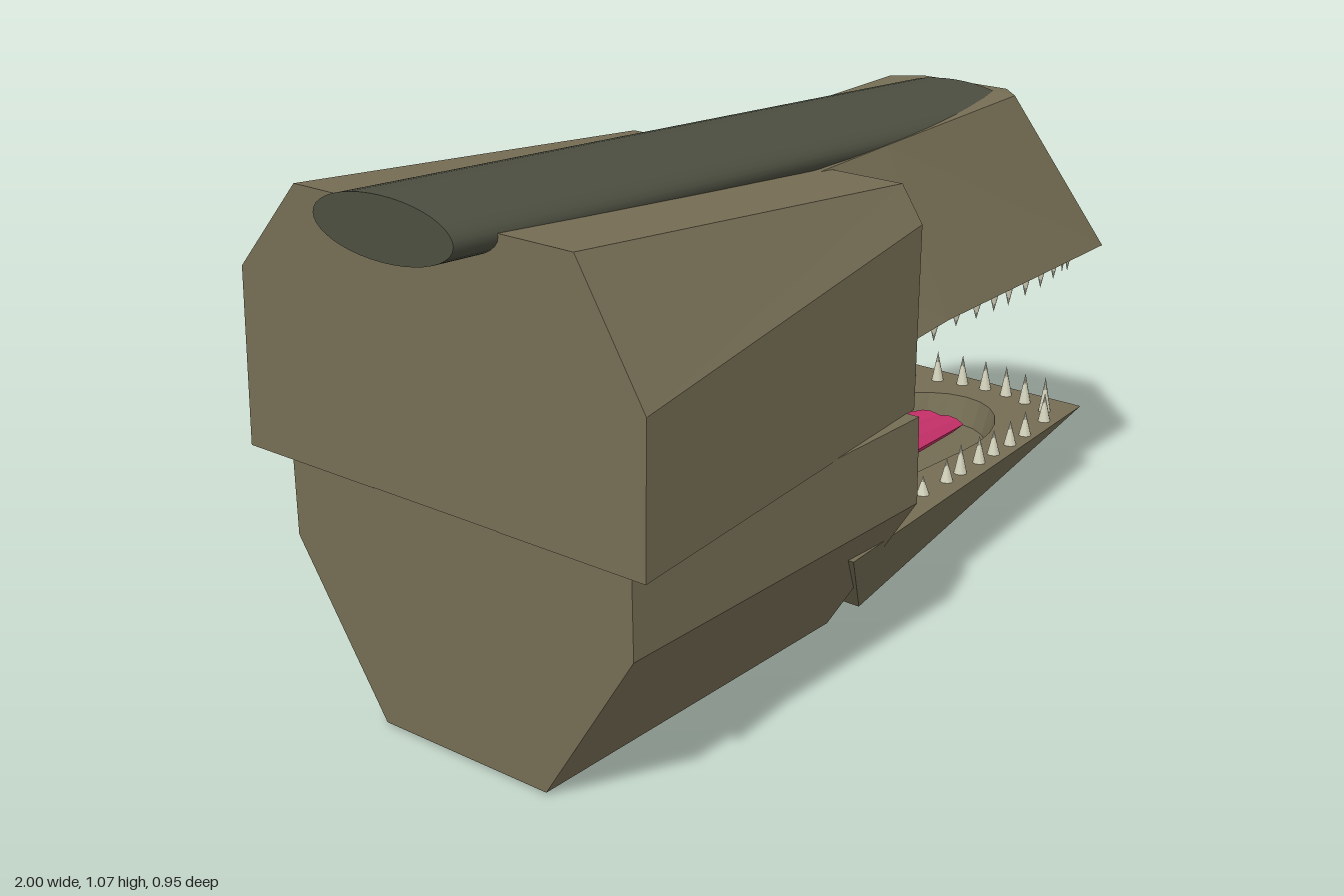
import * as THREE from 'three';

const hide = new THREE.MeshStandardMaterial({ color: 0x756d54, side: THREE.DoubleSide, flatShading: true });
hide.name = 'olive hide';
const crestMat = new THREE.MeshStandardMaterial({ color: 0x4c4e40 });
crestMat.name = 'dark crest';
const tongueMat = new THREE.MeshStandardMaterial({ color: 0xc8316a, flatShading: true });
tongueMat.name = 'pink tongue';
const toothMat = new THREE.MeshStandardMaterial({ color: 0xd6d5be });
toothMat.name = 'ivory teeth';

// Skins rings of [x, y, z] points; caps lie across the given pair of axes.
function loft(rings, axes, capFirst = true, capLast = true) {
  const tris = [];
  const n = rings[0].length;
  for (let r = 0; r < rings.length - 1; r++) {
    const a = rings[r], b = rings[r + 1];
    for (let i = 0; i < n; i++) {
      const j = (i + 1) % n;
      tris.push([a[i], a[j], b[j]], [a[i], b[j], b[i]]);
    }
  }
  const cap = (ring, first) => {
    const flat = ring.map(p => new THREE.Vector2(p[axes[0]], p[axes[1]]));
    const cw = THREE.ShapeUtils.isClockWise(flat);
    for (const [a, b, c] of THREE.ShapeUtils.triangulateShape(flat, [])) {
      tris.push(cw !== first ? [ring[a], ring[c], ring[b]] : [ring[a], ring[b], ring[c]]);
    }
  };
  if (capFirst) cap(rings[0], true);
  if (capLast) cap(rings[rings.length - 1], false);

  // Turn every face outward, judged by the enclosed volume
  const centre = new THREE.Box3().setFromPoints(rings.flat().map(p => new THREE.Vector3(...p)))
    .getCenter(new THREE.Vector3());
  let volume = 0;
  for (const t of tris) {
    const [a, b, c] = t.map(p => new THREE.Vector3(...p).sub(centre));
    volume += a.dot(b.cross(c));
  }
  if (volume < 0) tris.forEach(t => t.reverse());
  const geo = new THREE.BufferGeometry();
  geo.setAttribute('position', new THREE.Float32BufferAttribute(tris.flat(2), 3));
  geo.computeVertexNormals();
  return geo;
}

// Mirrors half a ring across z = 0
const mirror = half => [...half, ...half.map(([x, y, z]) => [x, y, -z]).reverse()];

function add(parent, name, geo, mat) {
  const mesh = new THREE.Mesh(geo, mat);
  mesh.name = name;
  parent.add(mesh);
  return mesh;
}

// Outline of a mouth hollow: straight sides and a round front, as [x, z]
function hollowOutline(back, straight, front, w) {
  const pts = [[back, w]];
  for (let i = 0; i <= 14; i++) {
    const t = Math.PI / 2 - (i / 14) * Math.PI;
    pts.push([straight + Math.cos(t) * (front - straight), Math.sin(t) * w]);
  }
  pts.push([back, -w]);
  return pts;
}

// Faceted jaw: outer shell, flat rim around the mouth, sunken hollow
function buildJaw(name, capHalf, rimHalf, rimY, outline, depth) {
  const jaw = new THREE.Group();
  jaw.name = name;
  const rim = mirror(rimHalf.map(([x, z]) => [x, rimY(x), z]));
  add(jaw, name + 'Shell', loft([mirror(capHalf), rim], [0, 2], true, false), hide);

  const shape = new THREE.Shape(rim.map(p => new THREE.Vector2(p[0], p[2])));
  shape.holes.push(new THREE.Path(outline.map(p => new THREE.Vector2(...p))));
  const geo = new THREE.ShapeGeometry(shape).rotateX(Math.PI / 2);
  const pos = geo.attributes.position;
  for (let i = 0; i < pos.count; i++) pos.setY(i, rimY(pos.getX(i)));
  geo.computeVertexNormals();
  add(jaw, name + 'Rim', geo, hide);

  const edge = outline.map(([x, z]) => [x, rimY(x), z]);
  const floor = outline.map(([x, z]) => [x * 0.97, rimY(x) + depth, z * 0.92]);
  add(jaw, name + 'Hollow', loft([edge, floor], [0, 2], false, true), hide);
  return jaw;
}

// Row of teeth from [x, z, length], mirrored across the mouth
function buildTeeth(name, list, rimY, dir) {
  const group = new THREE.Group();
  group.name = name;
  for (const [x, z, len] of list) {
    for (const side of z === 0 ? [1] : [1, -1]) {
      const tooth = add(group, 'tooth', new THREE.ConeGeometry(0.015, len, 8), toothMat);
      tooth.position.set(x, rimY(x) + dir * (len / 2 - 0.004), z * side);
      if (dir < 0) tooth.rotation.x = Math.PI;
    }
  }
  return group;
}

export function createModel() {
  const model = new THREE.Group();
  model.name = 'beastHead';

  // Broad back of the skull, narrowing forward, notched below for the throat
  const skullRing = (x, w, leftY, rightY, topW, topY, notchY) => [
    [0.15, 0.505], [w, 0.505], [w, leftY], [topW, topY],
    [-topW, topY], [-w, rightY], [-w, 0.505], [-0.15, 0.505], [-0.15, notchY], [0.15, notchY],
  ].map(([z, y]) => [x + (y - 0.505) * 0.035, y, z]);
  add(model, 'skull', loft([
    skullRing(-0.92, 0.475, 0.785, 0.845, 0.325, 1.02, 0.506),
    skullRing(-0.03, 0.378, 0.868, 0.868, 0.33, 0.938, 0.605),
  ], [2, 1]), hide);

  // Cheeks on both sides of the open throat, joined at the nape
  const at = (x, pts) => pts.map(([z, y]) => [x, y, z]);
  const cheeks = new THREE.Group();
  cheeks.name = 'cheeks';
  model.add(cheeks);
  for (const s of [1, -1]) {
    const half = [[0.15, 0.01], [0.2, 0.01], [0.41, 0.33], [0.41, 0.507], [0.15, 0.507]]
      .map(([z, y]) => [z * s, y]);
    add(cheeks, 'cheek', loft([at(-0.59, half), at(-0.06, half)], [2, 1]), hide);
  }
  const nape = [[0.2, 0.01], [0.41, 0.33], [0.41, 0.507], [-0.41, 0.507], [-0.41, 0.33], [-0.2, 0.01]];
  add(model, 'nape', loft([at(-0.88, nape), at(-0.59, nape)], [2, 1]), hide);

  // Upper jaw and its teeth
  const upperRim = () => 0.618;
  model.add(buildJaw('upperJaw',
    [[-0.3, 0.935, 0.17], [0.17, 0.947, 0.165], [0.65, 0.958, 0.16], [0.705, 0.955, 0.105]],
    [[-0.3, 0.37], [0.17, 0.32], [0.8, 0.305], [1, 0.09]],
    upperRim, hollowOutline(-0.25, 0.6, 0.87, 0.21), 0.09));
  model.add(buildTeeth('upperTeeth', [
    [0.95, 0, 0.075], [0.94, 0.06, 0.075], [0.9, 0.12, 0.075], [0.84, 0.185, 0.1],
    [0.775, 0.235, 0.07], [0.69, 0.25, 0.065], [0.62, 0.26, 0.065], [0.55, 0.265, 0.065],
    [0.475, 0.27, 0.065], [0.41, 0.275, 0.06], [0.335, 0.28, 0.055], [0.26, 0.28, 0.05],
    [0.18, 0.28, 0.06],
  ], upperRim, -1));

  // Lower jaw and its teeth
  const lowerRim = x => 0.25 - (x + 0.21) * 0.046;
  model.add(buildJaw('lowerJaw',
    [[0.05, 0.004, 0.2], [0.59, 0.053, 0.125]],
    [[-0.21, 0.37], [0.875, 0.23]],
    lowerRim, hollowOutline(-0.12, 0.45, 0.75, 0.19), -0.06));
  model.add(buildTeeth('lowerTeeth', [
    [0.83, 0, 0.075], [0.825, 0.06, 0.075], [0.81, 0.12, 0.075], [0.79, 0.185, 0.085],
    [0.73, 0.22, 0.07], [0.62, 0.237, 0.06], [0.545, 0.245, 0.06], [0.47, 0.25, 0.06],
    [0.405, 0.255, 0.065], [0.325, 0.26, 0.07], [0.265, 0.265, 0.055], [0.17, 0.27, 0.045],
  ], lowerRim, 1));

  // Tongue: wide at the throat, grooved down the middle
  const tongueRing = (x, y, s, h) => at(x, [
    [0, -0.012], [0.07, 0], [0.13, -0.008], [0.178, -0.035], [0.1, -0.11],
    [-0.1, -0.11], [-0.178, -0.035], [-0.13, -0.008], [-0.07, 0],
  ].map(([z, dy]) => [z * s, y + dy * h]));
  add(model, 'tongue', loft([
    tongueRing(-0.08, 0.312, 1, 1), tongueRing(0.3, 0.253, 0.7, 0.7), tongueRing(0.64, 0.2, 0.36, 0.35),
  ], [2, 1]), tongueMat);

  // Flattened round crest sloping along the top
  const rise = 0.107, run = 1.66;
  const crest = add(model, 'crest', new THREE.CylinderGeometry(1, 1, Math.hypot(rise, run), 40), crestMat);
  crest.scale.set(0.055, 1, 0.163);
  crest.rotation.z = -Math.PI / 2 - Math.atan2(rise, run);
  crest.position.set(-0.17, 0.967, 0);

  return model;
}
